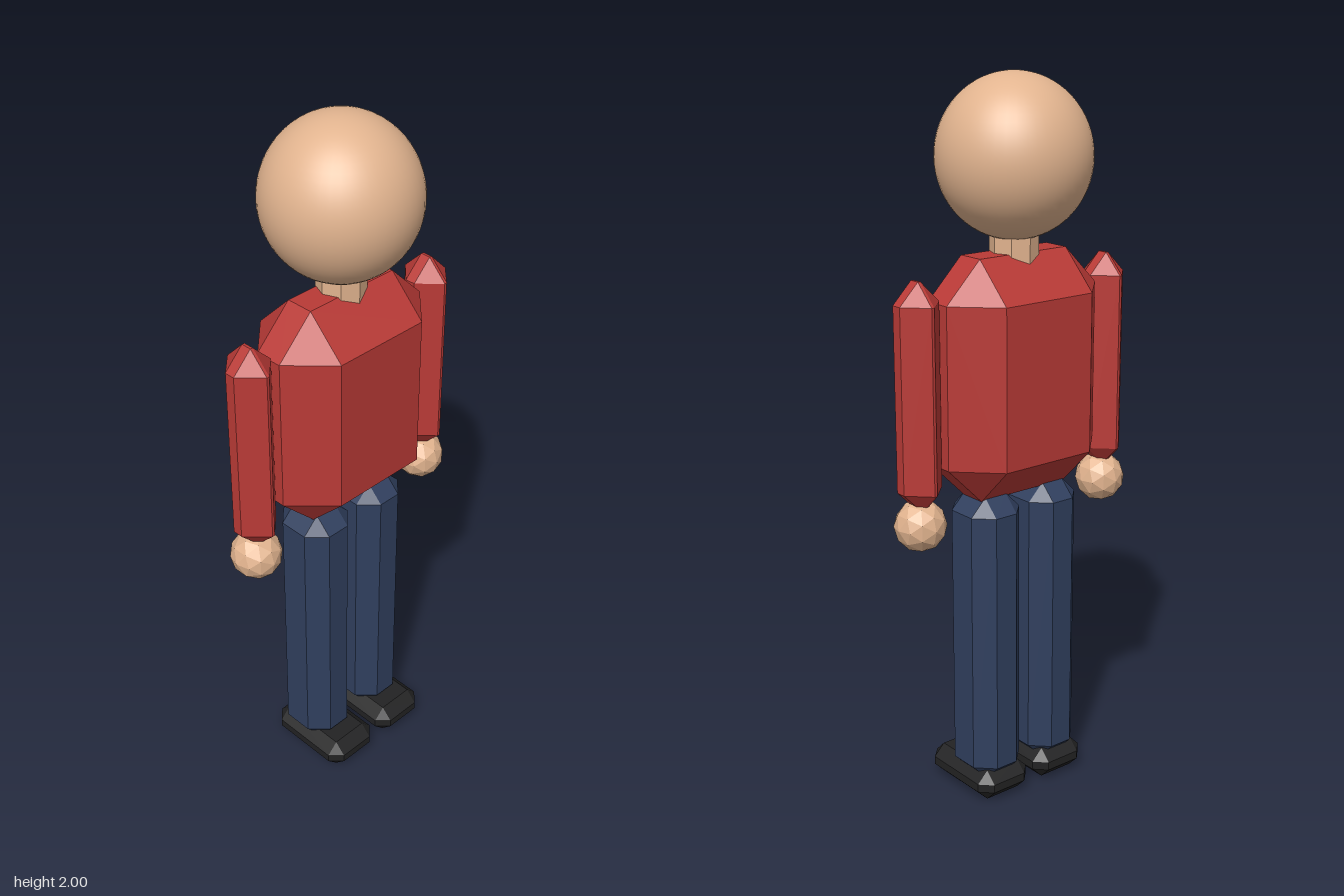
import * as THREE from 'three';
import { ConvexGeometry } from 'three/addons/geometries/ConvexGeometry.js';

const mat = (color, flatShading = true) => new THREE.MeshStandardMaterial({ color, flatShading });

// Box with evenly chamfered edges: hull of the six inset faces
function chamferBox(w, h, d, c) {
  const half = [w / 2, h / 2, d / 2];
  const points = [];
  for (let axis = 0; axis < 3; axis++)
    for (const sx of [-1, 1]) for (const sy of [-1, 1]) for (const sz of [-1, 1]) {
      const p = [sx, sy, sz].map((s, i) => s * (half[i] - (i === axis ? 0 : c)));
      points.push(new THREE.Vector3(...p));
    }
  return new ConvexGeometry(points);
}

export function createModel() {
  const group = new THREE.Group();
  const skin = mat(0xe2b48f);
  const smoothSkin = mat(0xe2b48f, false);
  const shirt = mat(0xb93a36);
  const trousers = mat(0x303f5e);
  const leather = mat(0x222223);

  const add = (name, geometry, material, x, y, z = 0) => {
    const mesh = new THREE.Mesh(geometry, material);
    mesh.name = name;
    mesh.position.set(x, y, z);
    group.add(mesh);
    return mesh;
  };

  // Head, neck and torso
  add('head', new THREE.SphereGeometry(0.207, 48, 32), smoothSkin, 0, 1.785).scale.y = 1.038;
  add('neck', new THREE.CylinderGeometry(0.066, 0.066, 0.2, 8), skin, 0, 1.54);
  add('torso', chamferBox(0.505, 0.655, 0.295, 0.108), shirt, 0, 1.212);

  // Limbs, one set on each side
  for (const [side, s] of [['left', 1], ['right', -1]]) {
    add(side + 'Arm', chamferBox(0.122, 0.61, 0.144, 0.057), shirt, s * 0.318, 1.195);
    add(side + 'Hand', new THREE.IcosahedronGeometry(0.071, 1), skin, s * 0.318, 0.848);
    add(side + 'Leg', chamferBox(0.165, 0.845, 0.182, 0.048), trousers, s * 0.1, 0.472);
    add(side + 'Shoe', chamferBox(0.174, 0.09, 0.27, 0.033), leather, s * 0.1, 0.045, 0.033);
  }
  return group;
}
